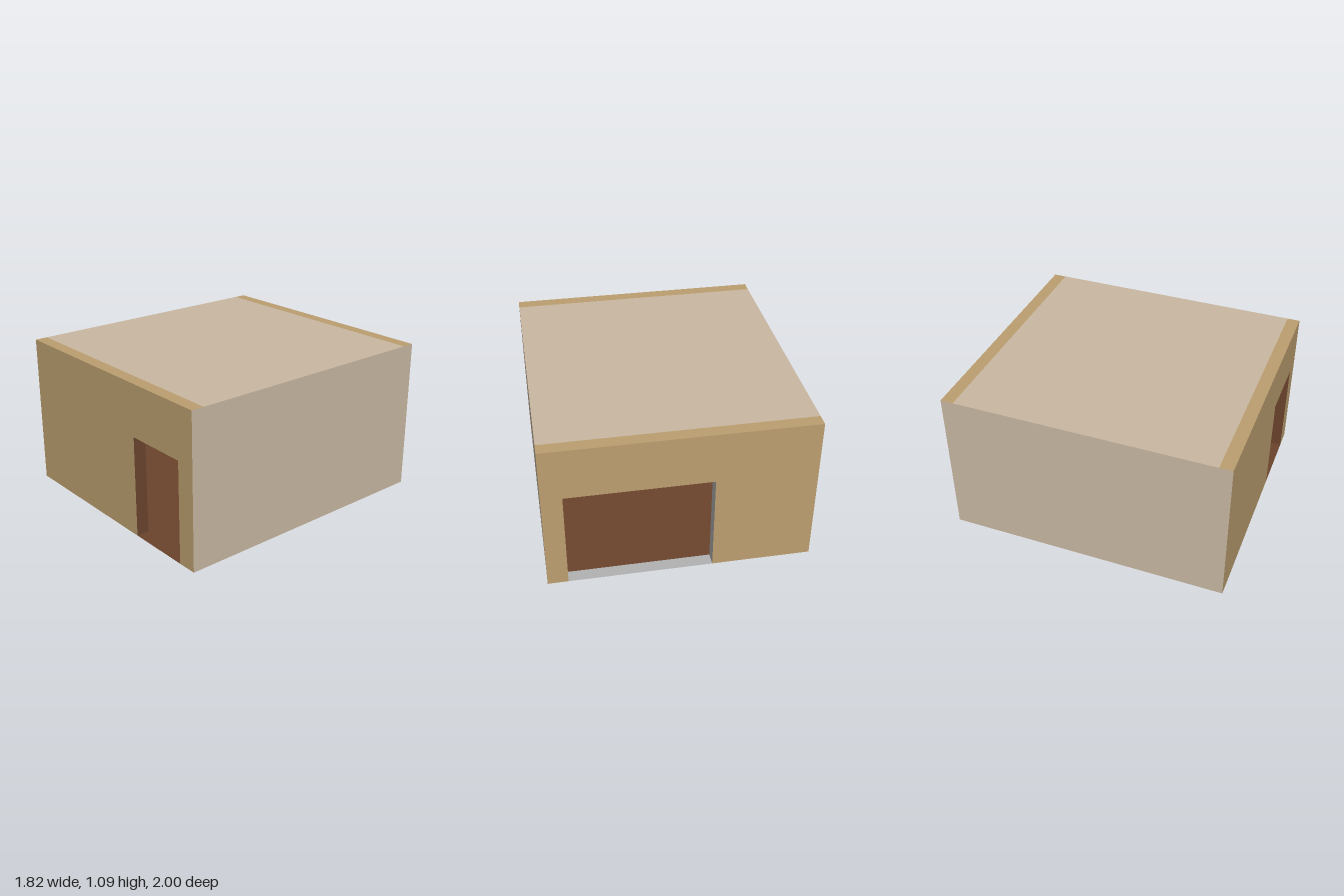
import * as THREE from 'three';

const W = 1.82, H = 1.09, D = 2, T = 0.09; // overall size and end wall thickness
const OPEN_H = 0.72;

function mat(name, color, side = THREE.FrontSide) {
  const m = new THREE.MeshStandardMaterial({ color, side });
  m.name = name;
  return m;
}

export function createModel() {
  const tan = mat('tan wall', 0xbc9f70);
  const taupe = mat('taupe shell', 0xc9b8a2, THREE.DoubleSide);
  const brown = mat('brown floor', 0x6b442d, THREE.DoubleSide);
  const grey = mat('grey reveal', 0xb2b2b2, THREE.DoubleSide);

  const model = new THREE.Group();
  model.name = 'building';

  // Box between two x and y limits; mats order: +x, -x, +y, -y, +z, -z
  function block(parent, name, x0, x1, y0, y1, z, mats) {
    const mesh = new THREE.Mesh(new THREE.BoxGeometry(x1 - x0, y1 - y0, T), mats);
    mesh.position.set((x0 + x1) / 2, (y0 + y1) / 2, z);
    mesh.name = name;
    parent.add(mesh);
  }

  // Flat sheet, turned about x or y
  function sheet(parent, name, w, h, material, pos, rx = 0, ry = 0) {
    const mesh = new THREE.Mesh(new THREE.PlaneGeometry(w, h), material);
    mesh.rotation.set(rx, ry, 0);
    mesh.position.set(...pos);
    mesh.name = name;
    parent.add(mesh);
  }

  // End wall with an opening from x0 to x1, lined in the reveal colour
  function endWall(name, z, x0, x1, reveal) {
    const g = new THREE.Group();
    g.name = name;
    block(g, 'rightPier', -W / 2, x0, 0, H, z, [reveal, taupe, tan, brown, tan, tan]);
    block(g, 'leftPier', x1, W / 2, 0, H, z, [taupe, reveal, tan, brown, tan, tan]);
    block(g, 'lintel', x0, x1, OPEN_H, H, z, [tan, tan, tan, reveal, tan, tan]);
    sheet(g, 'threshold', x1 - x0, T, reveal, [(x0 + x1) / 2, 0, z], -Math.PI / 2);
    model.add(g);
  }

  endWall('frontWall', D / 2 - T / 2, 0.3, 0.77, brown);
  endWall('backWall', -D / 2 + T / 2, -0.22, 0.77, grey);

  // Thin shell between the end walls
  const inner = D - 2 * T;
  sheet(model, 'floor', W, inner, brown, [0, 0, 0], -Math.PI / 2);
  sheet(model, 'roof', W, inner, taupe, [0, H, 0], -Math.PI / 2);
  for (const s of [-1, 1]) {
    sheet(model, s > 0 ? 'leftSideWall' : 'rightSideWall', inner, H, taupe,
      [s * W / 2, H / 2, 0], 0, s * Math.PI / 2);
  }
  return model;
}
